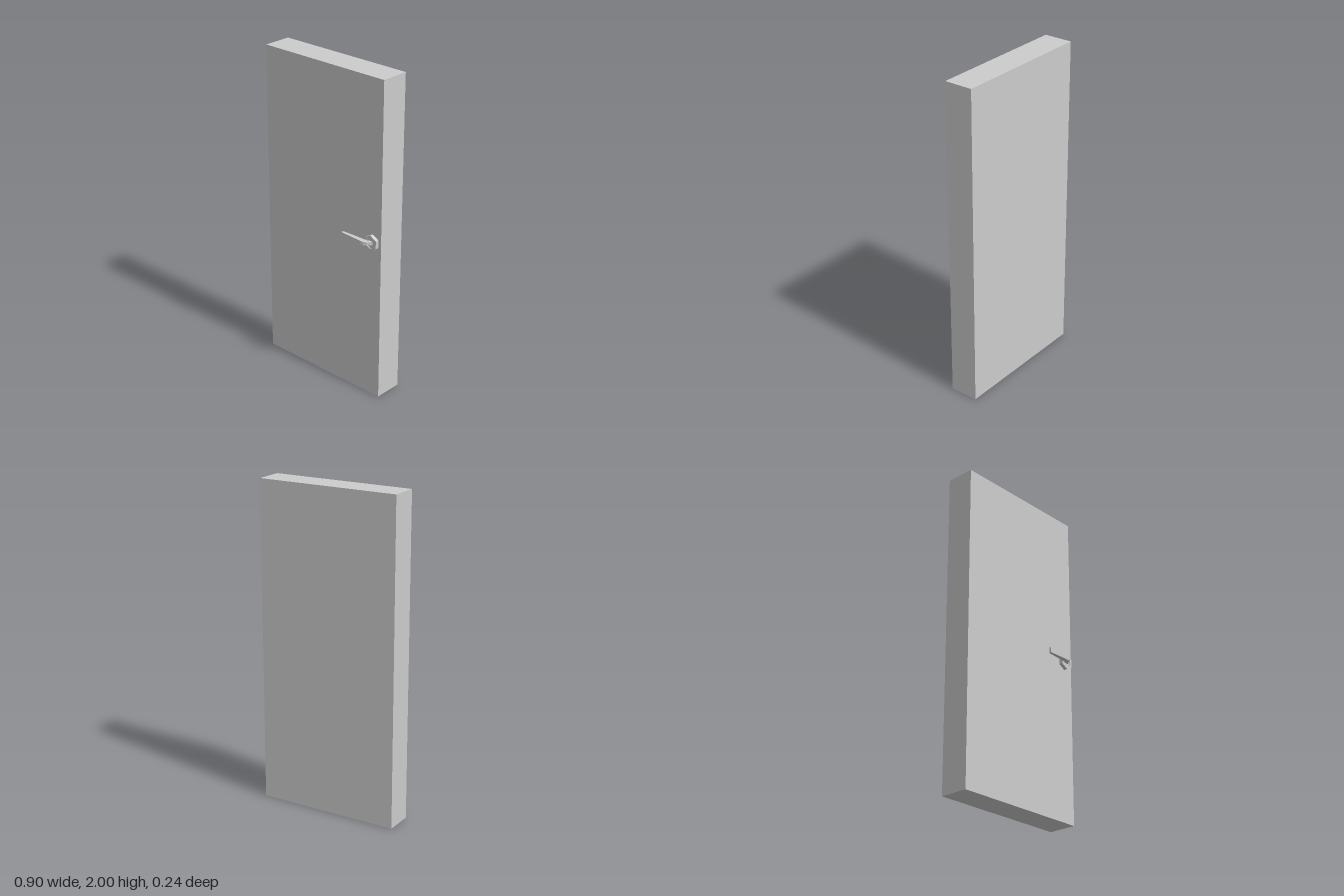
import * as THREE from 'three';

const material = new THREE.MeshStandardMaterial({ color: 0xcccccc, flatShading: true });

function addMesh(parent, name, geometry, x = 0, y = 0, z = 0) {
  const mesh = new THREE.Mesh(geometry, material);
  mesh.name = name;
  mesh.position.set(x, y, z);
  parent.add(mesh);
}

// Hexagon outline with a corner pointing up
function hexagon(radius) {
  return Array.from({ length: 6 }, (_, i) => {
    const a = Math.PI / 2 + (i * Math.PI) / 3;
    return new THREE.Vector2(radius * Math.cos(a), radius * Math.sin(a));
  });
}

function extrude(shape, depth) {
  return new THREE.ExtrudeGeometry(shape, { depth, bevelEnabled: false });
}

// Lever outline seen from above, as (x, z), given a height that shrinks towards the hub
function leverGeometry() {
  const outline = [
    [0.196, 0.117], [0.345, 0.116], [0.362, 0.113], [0.375, 0.105], [0.386, 0.093],
    [0.397, 0.079], [0.397, 0.062], [0.372, 0.062], [0.372, 0.08], [0.358, 0.084], [0.2, 0.1],
  ];
  const shape = new THREE.Shape(outline.map(([x, z]) => new THREE.Vector2(x, -z)));
  const geometry = extrude(shape, 1).rotateX(-Math.PI / 2);
  const p = geometry.attributes.position;
  for (let i = 0; i < p.count; i++) {
    const t = (p.getX(i) - 0.196) / 0.2;
    const bottom = 1.003 + 0.003 * t;
    const top = 1.037 - 0.011 * t;
    p.setY(i, p.getY(i) > 0.5 ? top : bottom);
  }
  geometry.computeVertexNormals();
  return geometry;
}

export function createModel() {
  const model = new THREE.Group();
  model.name = 'door';

  // Door slab
  addMesh(model, 'doorPanel', new THREE.BoxGeometry(0.896, 2, 0.178), 0, 1, -0.031);

  // Handle: hexagonal rose with a shallow sunken centre, and the lever
  const handle = new THREE.Group();
  handle.name = 'handle';
  model.add(handle);
  const rim = new THREE.Shape(hexagon(0.049));
  rim.holes.push(new THREE.Path(hexagon(0.036)));
  addMesh(handle, 'roseRim', extrude(rim, 0.022), 0.385, 1.015, 0.058);
  addMesh(handle, 'roseCentre', extrude(new THREE.Shape(hexagon(0.036)), 0.016), 0.385, 1.015, 0.058);
  addMesh(handle, 'lever', leverGeometry());

  return model;
}
